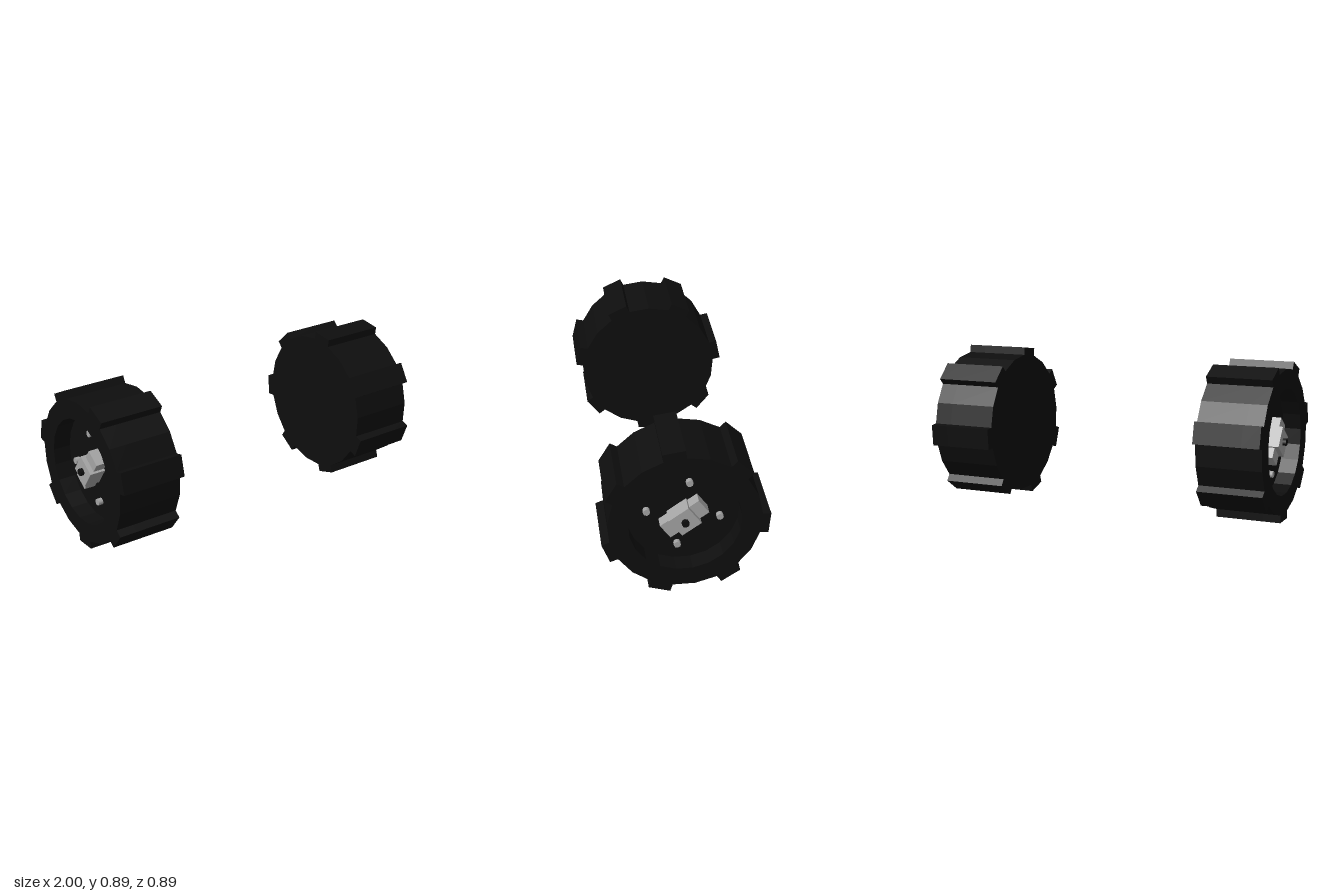
import * as THREE from 'three';

const SIDES = 21, STEP = (Math.PI * 2) / SIDES;
const BODY = 0.398, LUG = 0.442, RECESS = 0.293; // distances from axle to flats
const INNER = 0.62, FLOOR = 0.89, OUTER = 0.99;  // positions along the axle
const HALF = BODY * Math.tan(STEP / 2);
const rad = THREE.MathUtils.degToRad;

// 21-sided outline with every third flat pushed out into a lug
function treadShape() {
  const pts = [];
  const add = (a, r, s) => pts.push(new THREE.Vector2(
    -r * Math.sin(a) - s * Math.cos(a), r * Math.cos(a) - s * Math.sin(a)));
  for (let i = 0; i < SIDES; i++) {
    const a = i * STEP;
    add(a, BODY, -HALF);
    if (i % 3 === 0) {
      add(a, LUG, -HALF);
      add(a, LUG, HALF);
      add(a, BODY, HALF);
    }
  }
  return new THREE.Shape(pts);
}

function recessPath() {
  const r = RECESS / Math.cos(STEP / 2), pts = [];
  for (let i = 0; i < SIDES; i++) {
    const a = -(i + 0.5) * STEP;
    pts.push(new THREE.Vector2(-r * Math.sin(a), r * Math.cos(a)));
  }
  return new THREE.Path(pts);
}

// extrude along the axle (x)
function slab(shape, from, to) {
  const g = new THREE.ExtrudeGeometry(shape, { depth: to - from, bevelEnabled: false });
  return g.rotateY(Math.PI / 2).translate(from, 0, 0);
}

function rod(radius, from, to) {
  return new THREE.CylinderGeometry(radius, radius, to - from, 8)
    .rotateZ(-Math.PI / 2).translate((from + to) / 2, 0, 0);
}

function block(from, to, length, width) {
  return new THREE.BoxGeometry(to - from, length, width).translate((from + to) / 2, 0, 0);
}

export function createModel() {
  const rubber = new THREE.MeshStandardMaterial({ color: 0x0e0e0e });
  rubber.name = 'black rubber';
  const metal = new THREE.MeshStandardMaterial({ color: 0xa6a6a6 });
  metal.name = 'grey metal';

  const part = (parent, name, geometry, material) => {
    const m = new THREE.Mesh(geometry, material);
    m.name = name;
    parent.add(m);
    return m;
  };

  // wheel facing +x, turned about its axle by roll
  function makeWheel(name, roll) {
    const wheel = new THREE.Group();
    wheel.name = name;
    const spin = new THREE.Group();
    spin.name = 'rollingParts';
    spin.rotation.x = roll;
    wheel.add(spin);

    // tyre: solid drum, then a rim around the recess
    part(spin, 'drum', slab(treadShape(), INNER, FLOOR), rubber);
    const rim = treadShape();
    rim.holes.push(recessPath());
    part(spin, 'rim', slab(rim, FLOOR, OUTER), rubber);

    // hub clamp with a lower bar running through it
    const clamp = new THREE.Group();
    clamp.name = 'hubClamp';
    clamp.rotation.x = rad(-62.4);
    spin.add(clamp);
    part(clamp, 'hubBlock', block(FLOOR - 0.01, 0.98, 0.124, 0.121), metal);
    for (const s of [1, -1])
      part(clamp, 'hubEnd', block(FLOOR - 0.01, 0.955, 0.061, 0.096), metal).position.y = s * 0.0925;
    part(spin, 'axlePin', rod(0.02, FLOOR, 1), rubber);

    // four bolts
    for (let i = 0; i < 4; i++) {
      const a = -STEP + (i * Math.PI) / 2;
      part(spin, 'bolt', rod(0.019, FLOOR - 0.01, 0.918), metal)
        .position.set(0, 0.195 * Math.cos(a), 0.195 * Math.sin(a));
    }
    return wheel;
  }

  const model = new THREE.Group();
  model.name = 'wheelPair';
  const left = makeWheel('leftWheel', rad(8));
  const right = makeWheel('rightWheel', rad(26.4));
  right.rotation.y = Math.PI;
  for (const w of [left, right]) {
    w.position.set(0, 0.443, 0.003);
    model.add(w);
  }
  return model;
}
